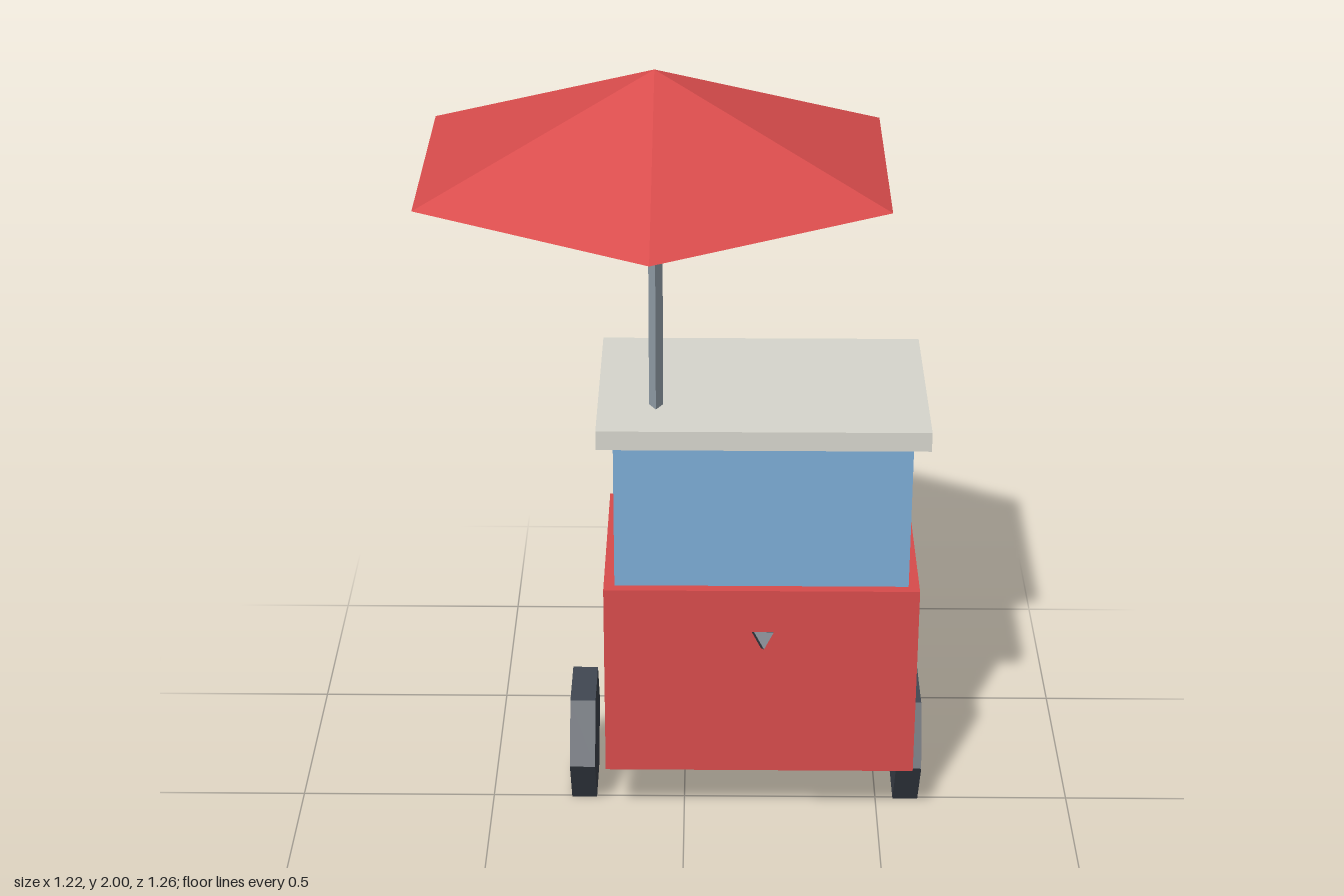
import * as THREE from 'three';

const mat = (name, color) => {
  const m = new THREE.MeshStandardMaterial({ color, flatShading: true });
  m.name = name;
  return m;
};

export function createModel() {
  const red = mat('red', 0xd94c4c);
  const blue = mat('blue', 0x7dadd7);
  const cream = mat('cream', 0xd8d7ce);
  const steel = mat('steel', 0x97a3ad);
  const rubber = mat('rubber', 0x414852);
  const grip = mat('grip', 0x535b67);

  const model = new THREE.Group();
  model.name = 'foodCart';

  const add = (name, geometry, material, x, y, z) => {
    const mesh = new THREE.Mesh(geometry, material);
    mesh.name = name;
    mesh.position.set(x, y, z);
    model.add(mesh);
    return mesh;
  };

  // Stacked boxes: each spans y0 to y1 around the cart's own centre line
  const cartX = 0.1925, cartZ = -0.131;
  const slab = (name, w, d, y0, y1, material) =>
    add(name, new THREE.BoxGeometry(w, y1 - y0, d), material, cartX, (y0 + y1) / 2, cartZ);
  slab('body', 0.786, 0.524, 0.165, 0.69, red);
  slab('cabinet', 0.732, 0.472, 0.69, 1.085, blue);
  slab('counterTop', 0.812, 0.55, 1.085, 1.135, cream);

  // Six-sided wheels, resting on a flat
  for (const [name, x] of [['rightWheel', -0.262], ['leftWheel', 0.578]]) {
    const wheel = add(name, new THREE.CylinderGeometry(0.17, 0.17, 0.065, 6), rubber, x, 0.147, -0.078);
    wheel.rotation.z = Math.PI / 2;
  }

  // Three-sided push handle, rising forwards
  const handle = add('handle', new THREE.CylinderGeometry(0.027, 0.027, 0.418, 3), grip, cartX, 0.6625, 0.3125);
  handle.rotation.x = Math.PI / 3;

  // Parasol: three-sided pole and six-sided canopy
  const poleX = -0.07;
  add('parasolPole', new THREE.CylinderGeometry(0.02, 0.02, 0.655, 3), steel, poleX, 1.4575, 0);
  add('parasolCanopy', new THREE.ConeGeometry(0.628, 0.23, 6), red, poleX, 1.885, 0);

  return model;
}
